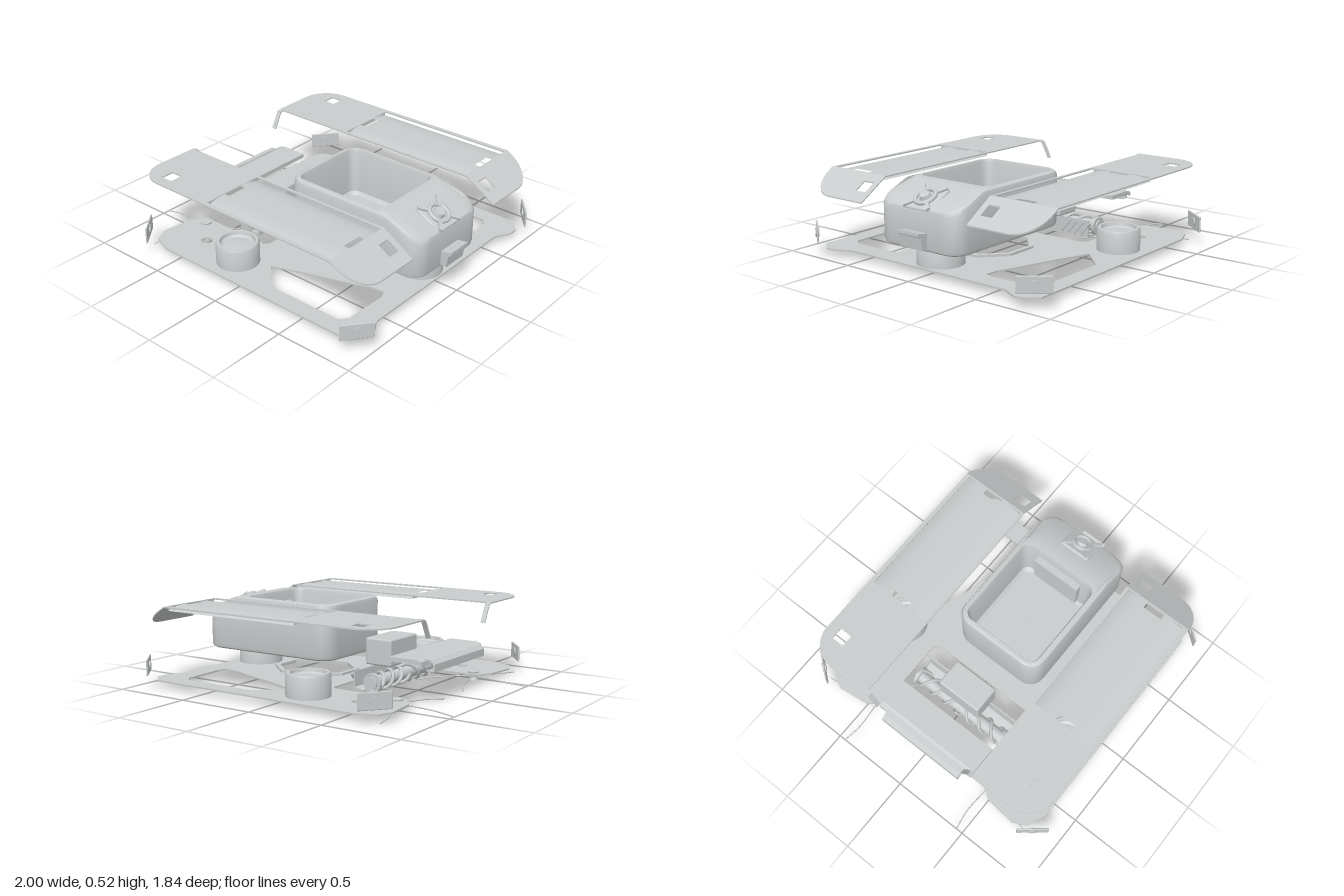
import * as THREE from 'three';
import { toCreasedNormals } from 'three/addons/utils/BufferGeometryUtils.js';
import { RoundedBoxGeometry } from 'three/addons/geometries/RoundedBoxGeometry.js';

const grey = new THREE.MeshStandardMaterial({ color: 0xc8cccd, side: THREE.DoubleSide });
grey.name = 'light grey';

const V = (x, y, z) => new THREE.Vector3(x, y, z);

// Rounded rectangle of points at height y
function ring(x0, x1, hz, r, y) {
  const at = (c, i) => {
    const a = (c + i / 6) * Math.PI / 2;
    const cx = c % 4 === 0 || c % 4 === 3 ? x1 - r : x0 + r;
    const cz = c % 4 < 2 ? hz - r : r - hz;
    return V(cx + r * Math.cos(a), y, cz + r * Math.sin(a));
  };
  const pts = [];
  for (let c = 0; c < 4; c++) {
    for (let i = 0; i <= 6; i++) pts.push(at(c, i));
    for (let i = 1; i < 12; i++) pts.push(at(c, 6).lerp(at(c + 1, 0), i / 12));
  }
  return pts;
}

// Skin over a list of rings
function loft(rings) {
  const n = rings[0].length, index = [];
  for (let j = 0; j < rings.length - 1; j++) {
    for (let k = 0; k < n; k++) {
      const a = j * n + k, b = j * n + (k + 1) % n;
      index.push(a, a + n, b, b, a + n, b + n);
    }
  }
  const g = new THREE.BufferGeometry().setFromPoints(rings.flat());
  g.setIndex(index);
  return toCreasedNormals(g, 0.6);
}

// Horizontal sheet from an x/z outline, top face at height y
function sheet(outline, holes, y, depth, s = 1) {
  const flip = pts => pts.map(([x, z]) => new THREE.Vector2(x, z * s));
  const shape = new THREE.Shape(flip(outline));
  holes.forEach(h => shape.holes.push(new THREE.Path(flip(h))));
  return new THREE.ExtrudeGeometry(shape, { depth, bevelEnabled: false }).rotateX(Math.PI / 2).translate(0, y, 0);
}

// Side profile in x/y swept along z, centred
function sweep(pts, width) {
  const shape = new THREE.Shape(pts.map(([x, y]) => new THREE.Vector2(x, y)));
  return new THREE.ExtrudeGeometry(shape, { depth: width, bevelEnabled: false }).translate(0, 0, -width / 2);
}

const rect = (x0, x1, z0, z1) => [[x0, z0], [x1, z0], [x1, z1], [x0, z1]];
const arc = (cx, cz, rx, rz, a0, a1, n = 8) => Array.from({ length: n + 1 }, (_, i) => {
  const a = (a0 + (a1 - a0) * i / n) * Math.PI / 180;
  return [cx + rx * Math.cos(a), cz + rz * Math.sin(a)];
});

export function createModel() {
  const model = new THREE.Group();
  const add = (name, geo, x = 0, y = 0, z = 0, parent = model) => {
    const m = new THREE.Mesh(geo, grey);
    m.name = name;
    m.position.set(x, y, z);
    parent.add(m);
    return m;
  };

  // Body tub with a sloping nose and an open bin
  const tub = [
    ring(0.43, 0.45, 0.01, 0.005, 0.17), ring(-0.03, 0.91, 0.29, 0.09, 0.17), ring(-0.045, 0.925, 0.305, 0.1, 0.18),
    ring(-0.05, 0.93, 0.31, 0.1, 0.2), ring(-0.05, 0.93, 0.31, 0.1, 0.49), ring(-0.044, 0.922, 0.302, 0.1, 0.512),
    ring(-0.03, 0.9, 0.285, 0.09, 0.52), ring(-0.022, 0.69, 0.28, 0.08, 0.52), ring(-0.012, 0.62, 0.27, 0.06, 0.52),
    ring(-0.005, 0.612, 0.262, 0.055, 0.5), ring(0.01, 0.6, 0.25, 0.05, 0.23), ring(0.03, 0.58, 0.23, 0.04, 0.21),
    ring(0.29, 0.31, 0.01, 0.005, 0.21),
  ];
  tub.flat().forEach(p => { if (p.y > 0.45) p.y -= Math.max(0, p.x - 0.69) * 0.42; });
  add('body', loft(tub));
  add('binOutlet', new THREE.BoxGeometry(0.045, 0.2, 0.33), 0.588, 0.35, 0);

  // Camera on the nose slope
  const cam = new THREE.Group();
  cam.name = 'camera';
  cam.position.set(0.835, 0.45, 0);
  cam.rotation.z = -0.5;
  model.add(cam);
  add('cameraPlate', new RoundedBoxGeometry(0.2, 0.03, 0.21, 2, 0.012), 0, 0, 0, cam);
  add('cameraRing', new THREE.TorusGeometry(0.062, 0.014, 8, 32).rotateX(Math.PI / 2), 0, 0.022, 0, cam);
  add('cameraLens', new THREE.CylinderGeometry(0.03, 0.04, 0.03, 24), 0, 0.025, 0, cam);
  for (let i = 0; i < 4; i++) {
    const a = Math.PI / 4 + i * Math.PI / 2;
    add('cameraArm', new THREE.BoxGeometry(0.07, 0.016, 0.022), 0.1 * Math.cos(a), 0.02, 0.1 * Math.sin(a), cam).rotation.y = -a;
  }
  add('noseHook', sweep([[0.9, 0.2], [0.97, 0.19], [0.98, 0.265], [1, 0.275], [1, 0.295], [0.95, 0.285], [0.9, 0.28]], 0.17));

  // Chassis sheet
  const half = [[0.875, 0.6], [0.93, 0.7], [0.93, 0.76], [0.86, 0.84], [-0.6, 0.84], [-0.72, 0.79], [-0.765, 0.7],
    [-0.74, 0.5], [-0.68, 0.41], [-0.17, 0.41], [-0.145, 0.38]];
  const flipZ = pts => pts.map(([x, z]) => [x, -z]);
  const windowHole = [[0.04, 0.57], [0.22, 0.5], [0.53, 0.4], [0.65, 0.355], [0.73, 0.35], [0.75, 0.4], [0.74, 0.68], [0.7, 0.73], [0.2, 0.73]];
  const drain = arc(-0.47, 0.61, 0.035, 0.035, 0, 345, 15);
  const octagon = k => arc(0.26, 0, 0.27 * k, 0.24 * k, 22.5, 337.5, 7);
  add('chassis', sheet([...half, ...flipZ(half).reverse()],
    [windowHole, flipZ(windowHole), drain, flipZ(drain), octagon(1)], 0.05, 0.01));
  add('chassisRim', sheet(octagon(1.06), [octagon(0.94)], 0.065, 0.02));

  // Wheel units: open drum, skirt and wheel
  const wheelUnit = (name, x, z, r, top) => {
    const profile = [[0.075, 0.03], [0.1, 0.04], [r, 0.046], [r, top - 0.015], [r - 0.008, top], [r - 0.025, top],
      [r - 0.03, top - 0.02], [r - 0.045, top - 0.03], [0.05, top - 0.025], [0.001, top - 0.02]];
    const g = new THREE.Group();
    g.name = name;
    g.position.set(x, 0, z);
    model.add(g);
    add('drum', toCreasedNormals(new THREE.LatheGeometry(profile.map(p => new THREE.Vector2(...p)), 40), 0.6), 0, 0, 0, g);
    add('wheel', new THREE.CylinderGeometry(0.075, 0.075, 0.09, 32).rotateX(Math.PI / 2), 0, 0.08, 0, g);
    add('wheelCollar', new THREE.TorusGeometry(0.085, 0.008, 8, 32).rotateX(Math.PI / 2), 0, 0.036, 0, g);
  };
  wheelUnit('frontCaster', 0.725, 0, 0.142, 0.172);

  for (const s of [1, -1]) {
    const side = s > 0 ? 'left' : 'right';
    wheelUnit(side + 'DriveWheel', -0.155, s * 0.65, 0.133, 0.19);

    // Top side panel: flat deck, sloped nose, crowned cover with end slots
    const z0 = 0.405;
    add(side + 'Deck', sheet([[-0.775, z0], [0.76, z0], [0.76, 0.868], ...arc(-0.595, 0.688, 0.18, 0.18, 90, 180)],
      [rect(-0.195, 0.75, 0.425, 0.84), rect(-0.63, -0.55, 0.71, 0.795)], 0.516, 0.008, s));
    const nose = sheet([[0.76, z0], [0.96, z0], ...arc(0.78, 0.69, 0.18, 0.178, 0, 90), [0.76, 0.868]],
      [rect(0.815, 0.89, 0.445, 0.525)], 0.516, 0.008, s);
    const p = nose.attributes.position;
    for (let i = 0; i < p.count; i++) p.setY(i, p.getY(i) - (p.getX(i) - 0.76) * 0.62);
    nose.computeVertexNormals();
    add(side + 'DeckNose', nose);
    const strip = (x0, x1, a, b) => {
      const g = new THREE.PlaneGeometry(x1 - x0, b - a, 1, 24).rotateX(-Math.PI / 2).translate((x0 + x1) / 2, 0, (a + b) / 2);
      const q = g.attributes.position;
      for (let i = 0; i < q.count; i++) q.setY(i, 0.514 - 0.026 * Math.pow(Math.abs(q.getZ(i)) / 0.21, 4));
      g.computeVertexNormals();
      add(side + 'DeckCover', g, 0, 0, s * 0.632);
    };
    strip(-0.155, 0.71, -0.21, 0.21);
    for (const [a, b] of [[-0.195, -0.155], [0.71, 0.75]]) {
      strip(a, b, -0.21, -0.065);
      strip(a, b, 0.065, 0.21);
      add(side + 'CoverEnd', new THREE.BoxGeometry(0.006, 0.022, 0.4), a < 0 ? -0.195 : 0.75, 0.502, s * 0.632);
    }
    // Hooked tab at the tail of the panel
    const tab = [[0.41, 0.515], [0.385, 0.505], [0.36, 0.46], [0.33, 0.4]];
    for (let i = 0; i < 3; i++) {
      const [za, ya] = tab[i], [zb, yb] = tab[i + 1];
      const m = add(side + 'DeckTab', new THREE.BoxGeometry(0.03, 0.008, Math.hypot(zb - za, yb - ya)), -0.76, (ya + yb) / 2, s * (za + zb) / 2);
      m.rotation.x = s * Math.atan2(yb - ya, za - zb);
    }

    // Corner bumper plates
    for (const [name, x, sx] of [['Front', 0.927, 1], ['Rear', -0.738, -1]]) {
      const g = new THREE.Group();
      g.name = side + name + 'Bumper';
      g.position.set(x, 0.136, s * 0.842);
      g.rotation.y = sx * s * 0.89;
      model.add(g);
      add('bumperPlate', new RoundedBoxGeometry(0.198, 0.1, 0.01, 3, 0.005), 0, 0, 0, g);
      add('bumperSensor', new THREE.CylinderGeometry(0.028, 0.028, 0.024, 24).rotateX(Math.PI / 2), 0, 0, 0, g);
    }

    // Sweeping whiskers
    const w = new THREE.Group();
    w.name = side + 'Whisker';
    w.position.set(-0.635, 0, s * 0.457);
    model.add(w);
    add('whiskerHub', new THREE.CylinderGeometry(0.036, 0.03, 0.035, 24), 0, 0.042, 0, w);
    add('whiskerBoss', new THREE.CylinderGeometry(0.018, 0.03, 0.03, 16), 0, 0.02, 0, w);
    for (let i = 0; i < 5; i++) {
      const a = Math.PI + i * Math.PI * 0.4;
      const at = (r, b, y) => V(r * Math.cos(a + b), y, s * r * Math.sin(a + b));
      const curve = new THREE.CatmullRomCurve3([at(0.02, 0, 0.03), at(0.13, 0.1, 0.024), at(0.25, 0.07, 0.016), at(0.364, 0, 0.006)]);
      add('bristle', new THREE.TubeGeometry(curve, 16, 0.004, 5), 0, 0, 0, w);
    }
  }

  // Main roller with mirrored helical ribs
  const roller = new THREE.Group();
  roller.name = 'roller';
  roller.position.set(-0.39, 0.095, 0);
  model.add(roller);
  add('rollerCore', new THREE.CylinderGeometry(0.038, 0.038, 0.71, 24).rotateX(Math.PI / 2), 0, 0, 0, roller);
  for (const start of [0, Math.PI]) {
    const pts = Array.from({ length: 81 }, (_, i) => {
      const z = -0.345 + 0.69 * i / 80, a = start + Math.abs(z) * 32;
      return V(0.05 * Math.cos(a), 0.05 * Math.sin(a), z);
    });
    add('rollerRib', new THREE.TubeGeometry(new THREE.CatmullRomCurve3(pts), 200, 0.011, 6), 0, 0, 0, roller);
  }
  for (const z of [-0.335, 0.335]) add('rollerCap', new THREE.CylinderGeometry(0.06, 0.06, 0.02, 28).rotateX(Math.PI / 2), 0, 0, z, roller);

  // Scoop behind the roller and the motor box above it
  add('scoop', sweep([[-0.335, 0.04], [-0.265, 0.045], [-0.265, 0.155], [-0.273, 0.155], [-0.275, 0.06], [-0.335, 0.048]], 0.7));
  for (const s of [1, -1]) {
    for (let i = 0; i < 4; i++) add('scoopRib', new THREE.BoxGeometry(0.012, 0.11, 0.01), -0.262, 0.1, s * (0.18 + i * 0.05)).rotation.x = s * 0.7;
  }
  add('motorBox', new RoundedBoxGeometry(0.182, 0.165, 0.305, 3, 0.012), -0.311, 0.242, -0.005);

  // Tail hatch with a perforated lip
  add('hatch', sweep([[-0.52, 0.245], [-0.52, 0.272], [-0.7, 0.272], [-0.733, 0.262], [-0.735, 0.235], [-0.7, 0.243]], 0.72));
  add('hatchLip', sweep([[-0.72, 0.272], [-0.76, 0.268], [-0.787, 0.245], [-0.787, 0.2], [-0.779, 0.2], [-0.776, 0.238], [-0.755, 0.258], [-0.72, 0.262]], 0.6));
  const holes = [];
  for (let i = 0; i < 24; i++) for (let j = 0; j < 2; j++) holes.push(rect(-0.018 + j * 0.02, -0.004 + j * 0.02, -0.288 + i * 0.0242, -0.275 + i * 0.0242));
  add('hatchGrille', sheet(rect(-0.024, 0.024, -0.3, 0.3), holes, 0, 0.006), -0.757, 0.206, 0);

  return model;
}
